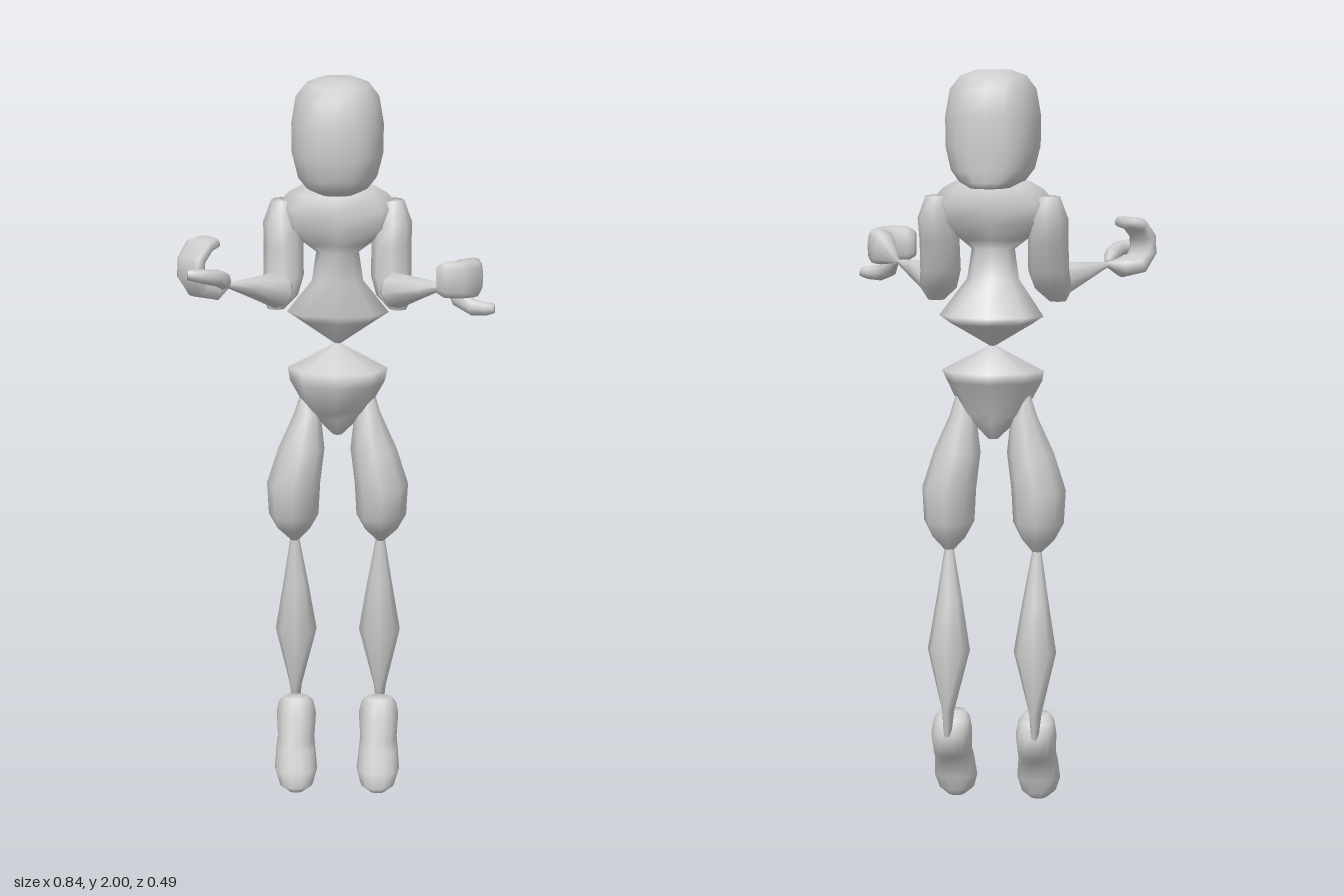
import * as THREE from 'three';

const grey = new THREE.MeshStandardMaterial({ color: 0xcccccc });
grey.name = 'plain grey';

// Closed smooth skin over rings; each ring is { c: centre, u, v: half axes }, with u x v along the path
function skin(name, rings, sides, power) {
  const pos = [], index = [], n = rings.length;
  const round = (t) => Math.sign(t) * Math.pow(Math.abs(t), 2 / power);
  for (const { c, u, v } of rings) {
    for (let i = 0; i < sides; i++) {
      const a = (i / sides) * Math.PI * 2;
      const p = c.clone().addScaledVector(u, round(Math.cos(a))).addScaledVector(v, round(Math.sin(a)));
      pos.push(p.x, p.y, p.z);
    }
  }
  for (let k = 0; k < n - 1; k++) {
    for (let i = 0; i < sides; i++) {
      const j = (i + 1) % sides, a = k * sides, b = a + sides;
      index.push(a + i, a + j, b + j, a + i, b + j, b + i);
    }
  }
  // End caps
  const first = rings[0].c, last = rings[n - 1].c, s = n * sides;
  pos.push(first.x, first.y, first.z, last.x, last.y, last.z);
  for (let i = 0; i < sides; i++) {
    const j = (i + 1) % sides, e = (n - 1) * sides;
    index.push(s, j, i, s + 1, e + i, e + j);
  }
  const g = new THREE.BufferGeometry();
  g.setAttribute('position', new THREE.Float32BufferAttribute(pos, 3));
  g.setIndex(index);
  g.computeVertexNormals();
  const mesh = new THREE.Mesh(g, grey);
  mesh.name = name;
  return mesh;
}

// Level rings from top to bottom: [y, centre x, half width, back z, front z]
function stack(name, rows, { side = 1, sides = 8, power = 2 } = {}) {
  return skin(name, rows.map(([y, x, w, back, front]) => ({
    c: new THREE.Vector3(x * side, y, (back + front) / 2),
    u: new THREE.Vector3(w, 0, 0),
    v: new THREE.Vector3(0, 0, (front - back) / 2),
  })), sides, power);
}

// Rings square to a bent path: [x, y, z, half width along axis, half thickness]
function sweep(name, rows, axis, { sides = 8, power = 2 } = {}) {
  const pts = rows.map(([x, y, z]) => new THREE.Vector3(x, y, z));
  return skin(name, rows.map((r, i) => {
    const t = pts[Math.min(i + 1, pts.length - 1)].clone().sub(pts[Math.max(i - 1, 0)]).normalize();
    const u = axis.clone().addScaledVector(t, -axis.dot(t)).normalize();
    const v = t.clone().cross(u);
    return { c: pts[i], u: u.multiplyScalar(r[3]), v: v.multiplyScalar(r[4]) };
  }), sides, power);
}

export function createModel() {
  const model = new THREE.Group();
  model.name = 'figure';
  const up = new THREE.Vector3(0, 1, 0);

  // Head with a blunt back and rounded chin
  model.add(stack('head', [
    [2.0, 0, 0.045, -0.16, -0.03],
    [1.985, 0, 0.085, -0.205, 0.02],
    [1.95, 0, 0.112, -0.232, 0.04],
    [1.88, 0, 0.124, -0.243, 0.055],
    [1.8, 0, 0.123, -0.244, 0.056],
    [1.74, 0, 0.108, -0.242, 0.045],
    [1.71, 0, 0.085, -0.24, 0.025],
    [1.695, 0, 0.055, -0.235, -0.005],
  ], { sides: 20, power: 2.6 }));

  // Chest, narrow middle and flared waist ending in a point
  model.add(stack('torso', [
    [1.71, 0, 0.1, -0.175, -0.04],
    [1.69, 0, 0.135, -0.18, -0.03],
    [1.65, 0, 0.17, -0.185, -0.02],
    [1.6, 0, 0.16, -0.18, -0.02],
    [1.555, 0, 0.09, -0.15, -0.035],
    [1.53, 0, 0.058, -0.145, -0.05],
    [1.45, 0, 0.07, -0.155, -0.05],
    [1.355, 0, 0.14, -0.225, -0.05],
    [1.335, 0, 0.11, -0.225, -0.055],
    [1.27, 0, 0.004, -0.115, -0.107],
  ]));

  // Hips
  model.add(stack('hips', [
    [1.275, 0, 0.004, -0.114, -0.106],
    [1.205, 0, 0.138, -0.21, -0.005],
    [1.175, 0, 0.13, -0.19, 0.03],
    [1.09, 0, 0.085, -0.15, -0.04],
    [1.065, 0, 0.06, -0.145, -0.05],
    [1.02, 0, 0.015, -0.12, -0.08],
  ]));

  for (const side of [1, -1]) {
    const label = side > 0 ? 'left' : 'right';

    stackOnto('UpperArm', [
      [1.67, 0.15, 0.03, -0.15, -0.07],
      [1.61, 0.15, 0.052, -0.175, -0.04],
      [1.55, 0.146, 0.054, -0.15, -0.03],
      [1.47, 0.146, 0.055, -0.125, -0.025],
      [1.42, 0.156, 0.05, -0.09, -0.01],
      [1.385, 0.165, 0.022, -0.05, -0.015],
    ]);

    // Forearm tapering to the wrist
    model.add(sweep(label + 'Forearm', [
      [0.135 * side, 1.435, -0.035, 0.025, 0.03],
      [0.16 * side, 1.44, -0.015, 0.05, 0.062],
      [0.235 * side, 1.46, 0.045, 0.025, 0.029],
      [0.293 * side, 1.475, 0.097, 0.005, 0.005],
    ], up));

    stackOnto('Thigh', [
      [1.17, 0.085, 0.006, -0.105, -0.095],
      [1.08, 0.083, 0.036, -0.13, -0.06],
      [0.98, 0.1, 0.064, -0.155, -0.025],
      [0.88, 0.122, 0.074, -0.175, -0.005],
      [0.79, 0.122, 0.069, -0.168, -0.012],
      [0.745, 0.122, 0.045, -0.145, -0.05],
      [0.705, 0.12, 0.006, -0.112, -0.1],
    ]);

    stackOnto('Shin', [
      [0.73, 0.12, 0.01, -0.115, -0.095],
      [0.58, 0.118, 0.035, -0.15, -0.085],
      [0.44, 0.118, 0.058, -0.187, -0.072],
      [0.27, 0.12, 0.017, -0.165, -0.1],
      [0.2, 0.12, 0.01, -0.16, -0.13],
    ]);

    // Foot pointing down, with the heel behind
    stackOnto('Foot', [
      [0.255, 0.117, 0.035, -0.095, -0.045],
      [0.235, 0.117, 0.05, -0.125, -0.035],
      [0.2, 0.117, 0.056, -0.16, -0.02],
      [0.14, 0.117, 0.052, -0.138, 0],
      [0.115, 0.117, 0.055, -0.09, 0.008],
      [0.06, 0.116, 0.06, -0.072, 0.028],
      [0.02, 0.115, 0.048, -0.058, 0.04],
      [0.002, 0.115, 0.025, -0.045, 0.025],
    ], { sides: 14, power: 2.4 });

    function stackOnto(part, rows, options = {}) {
      model.add(stack(label + part, rows, { side, ...options }));
    }
  }

  // Left hand: fingers curl level, thumb underneath
  model.add(sweep('leftHand', [
    [0.293, 1.475, 0.094, 0.006, 0.006],
    [0.335, 1.505, 0.113, 0.045, 0.034],
    [0.36, 1.512, 0.15, 0.05, 0.028],
    [0.356, 1.514, 0.19, 0.05, 0.03],
    [0.325, 1.515, 0.212, 0.05, 0.03],
    [0.285, 1.515, 0.214, 0.048, 0.028],
    [0.264, 1.515, 0.214, 0.035, 0.02],
  ], up, { sides: 12, power: 2.8 }));
  model.add(sweep('leftThumb', [
    [0.3, 1.475, 0.1, 0.01, 0.01],
    [0.325, 1.452, 0.145, 0.025, 0.022],
    [0.36, 1.435, 0.18, 0.022, 0.02],
    [0.395, 1.434, 0.19, 0.018, 0.018],
    [0.415, 1.436, 0.193, 0.013, 0.014],
  ], up));

  // Right hand: fingers curl upwards, thumb in front
  model.add(sweep('rightHand', [
    [-0.283, 1.475, 0.093, 0.006, 0.006],
    [-0.322, 1.465, 0.11, 0.043, 0.026],
    [-0.362, 1.475, 0.134, 0.046, 0.026],
    [-0.38, 1.51, 0.143, 0.046, 0.022],
    [-0.378, 1.55, 0.138, 0.046, 0.02],
    [-0.358, 1.583, 0.113, 0.046, 0.02],
    [-0.335, 1.59, 0.087, 0.042, 0.016],
  ], new THREE.Vector3(0.7, 0, 0.7), { sides: 12, power: 2.8 }));
  model.add(sweep('rightThumb', [
    [-0.29, 1.48, 0.1, 0.012, 0.012],
    [-0.295, 1.495, 0.14, 0.024, 0.022],
    [-0.308, 1.51, 0.178, 0.022, 0.021],
    [-0.345, 1.518, 0.198, 0.019, 0.018],
    [-0.383, 1.522, 0.204, 0.013, 0.014],
  ], up));

  return model;
}
